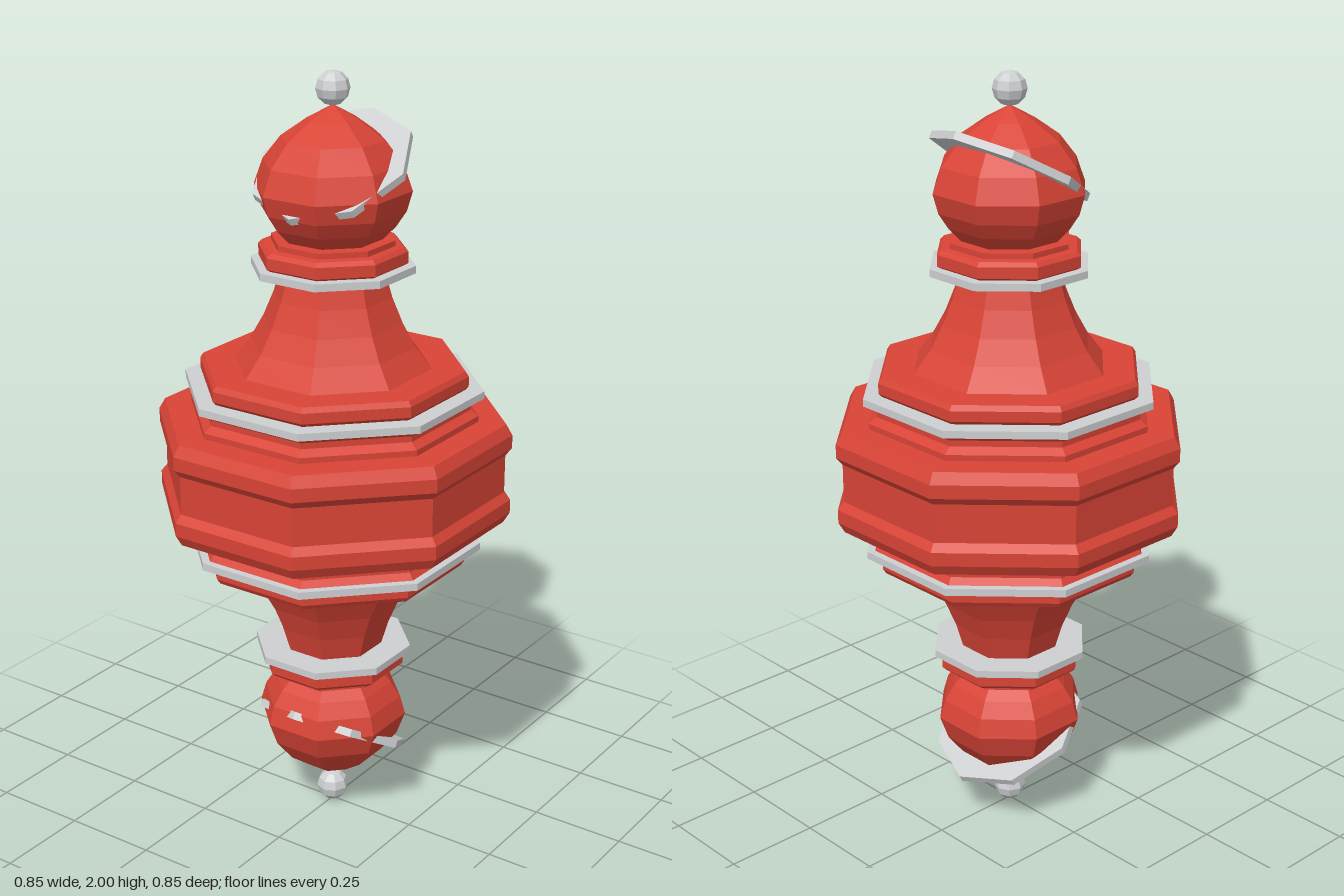
import * as THREE from 'three';

const SIDES = 8;
const APOTHEM = Math.cos(Math.PI / SIDES);

function material(name, color) {
  const m = new THREE.MeshStandardMaterial({ color, flatShading: true });
  m.name = name;
  return m;
}

// Octagonal turned part; the profile is [distance to flat side, height], from bottom to top.
function turned(name, profile, mat) {
  const points = profile.map(([r, y]) => new THREE.Vector2(r / APOTHEM, y));
  const geo = new THREE.LatheGeometry(points, SIDES, Math.PI / SIDES).toNonIndexed();
  geo.computeVertexNormals();
  const mesh = new THREE.Mesh(geo, mat);
  mesh.name = name;
  return mesh;
}

// One half, with heights measured from the middle of the model.
function buildHalf(name, red, metal) {
  const half = new THREE.Group();
  half.name = name;

  const band = (partName, r, y0, y1) =>
    turned(partName, [[0, y0], [r, y0], [r, y1], [0, y1]], metal);

  half.add(
    turned('drum', [
      [0.41, 0], [0.41, 0.05], [0.425, 0.07], [0.425, 0.105], [0.41, 0.133],
      [0.345, 0.135], [0.345, 0.15], [0.326, 0.165], [0.326, 0.18], [0.34, 0.2],
    ], red),
    band('wideBand', 0.357, 0.197, 0.216),
    turned('shoulderMoulding', [
      [0.31, 0.214], [0.32, 0.225], [0.32, 0.252], [0.312, 0.265], [0.2, 0.265],
    ], red),
    turned('flaredNeck', [
      [0.235, 0.264], [0.195, 0.32], [0.164, 0.38], [0.139, 0.445], [0.12, 0.515],
    ], red),
    band('narrowBand', 0.193, 0.51, 0.529),
    turned('collar', [
      [0.165, 0.528], [0.175, 0.535], [0.175, 0.564], [0.165, 0.574],
      [0.145, 0.576], [0.145, 0.59], [0.1, 0.592],
    ], red),
    turned('ball', [
      [0.115, 0.59], [0.146, 0.625], [0.17, 0.665], [0.183, 0.715],
      [0.162, 0.778], [0.12, 0.836], [0.06, 0.882], [0, 0.918],
    ], red),
  );

  // Tilted plate sunk into the ball, with only its rim showing
  const plate = new THREE.Mesh(new THREE.CylinderGeometry(0.206, 0.206, 0.02, SIDES), metal);
  plate.name = 'tiltedPlate';
  plate.position.y = 0.768;
  plate.rotation.x = Math.PI / 6;
  half.add(plate);

  const finial = new THREE.Mesh(new THREE.SphereGeometry(0.043, 8, 6), metal);
  finial.name = 'finial';
  finial.position.y = 0.957;
  half.add(finial);

  return half;
}

export function createModel() {
  const red = material('red', 0xd94436);
  const metal = material('silver', 0xcdcfd1);
  const model = new THREE.Group();
  model.name = 'turnedOrnament';

  const upper = buildHalf('upperHalf', red, metal);
  const lower = buildHalf('lowerHalf', red, metal);
  lower.rotation.z = Math.PI;
  upper.position.y = lower.position.y = 1;
  model.add(upper, lower);
  return model;
}
